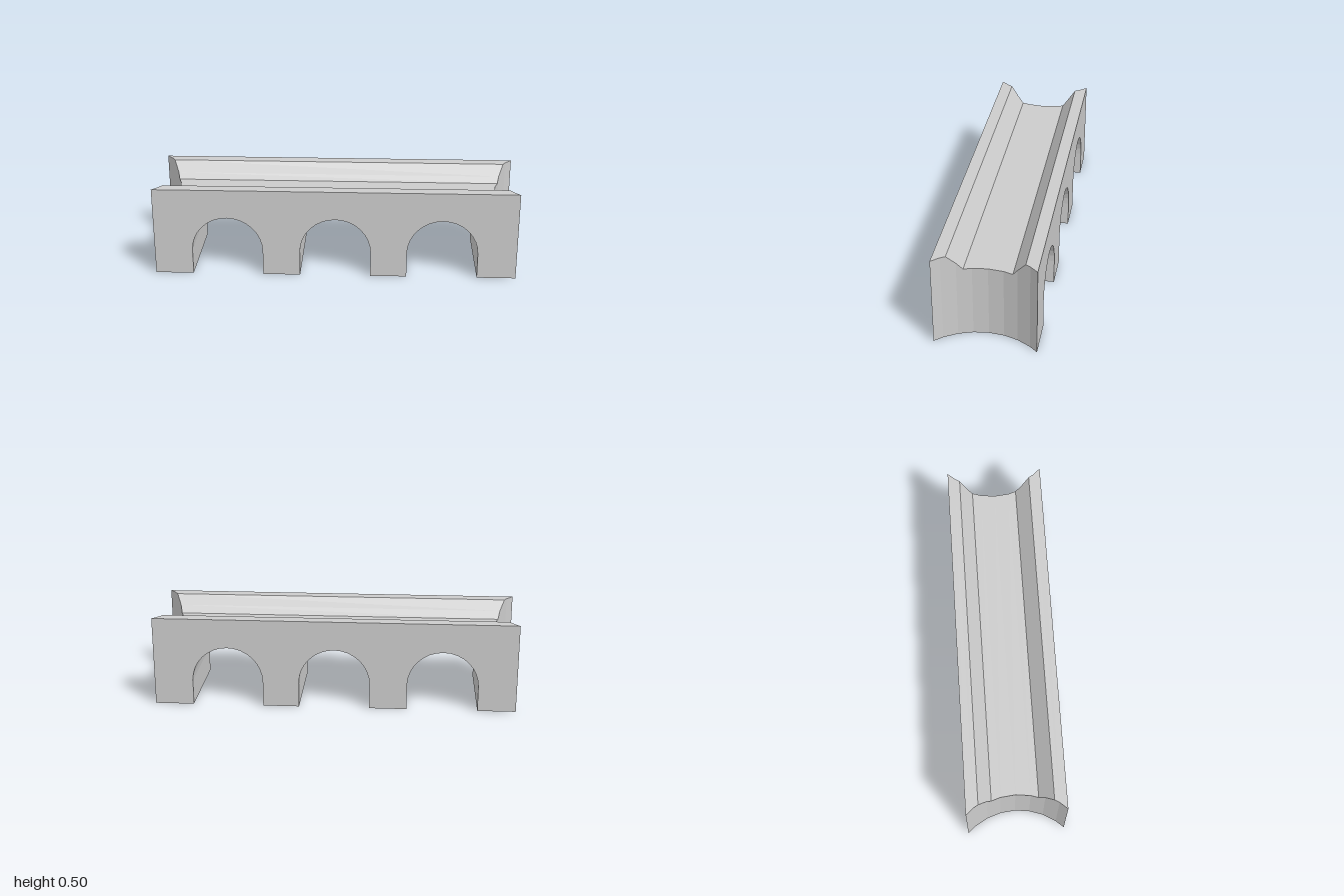
import * as THREE from 'three';

const TOP = 0.497, HALF_DEPTH = 0.267;
const ARCH_R = 0.195, SPRING = 0.14;

// Piecewise linear lookup through [z, value] points in ascending z
function lerpTable(points, z) {
  for (let i = 1; i < points.length; i++) {
    const [z0, a] = points[i - 1], [z1, b] = points[i];
    if (z <= z1) return a + (b - a) * Math.max(0, (z - z0) / (z1 - z0));
  }
  return points[points.length - 1][1];
}

// Trough section across the deck: z, height
const trough = [
  [-HALF_DEPTH, TOP], [-0.2, TOP], [-0.13, 0.405],
  [0.122, 0.405], [0.2, TOP], [HALF_DEPTH, TOP],
];

// Faceted concave end: |z|, half length
const END_R = 0.375;
const endCurve = [0, 0.08, 0.155, 0.2245].map(
  (z) => [z, 0.888 + END_R - Math.sqrt(END_R ** 2 - z ** 2)]);
endCurve.push([HALF_DEPTH, 1]);

export function createModel() {
  // Front elevation with three open arches
  const shape = new THREE.Shape();
  shape.moveTo(-1, 0);
  for (const c of [-0.595, 0.001, 0.591]) {
    shape.lineTo(c - ARCH_R, 0);
    shape.lineTo(c - ARCH_R, SPRING);
    shape.absarc(c, SPRING, ARCH_R, Math.PI, 0, true);
    shape.lineTo(c + ARCH_R, 0);
  }
  shape.lineTo(1, 0);
  shape.lineTo(1, TOP);
  shape.lineTo(-1, TOP);
  shape.closePath();

  // One extrusion layer at every crease of the ends and the trough
  const layers = [...new Set([
    ...trough.map(([z]) => z),
    ...endCurve.flatMap(([z]) => (z ? [z, -z] : [0])),
  ])].sort((a, b) => a - b);
  const steps = layers.length - 1;
  const geometry = new THREE.ExtrudeGeometry(shape, {
    depth: steps, steps, bevelEnabled: false, curveSegments: 8,
  });

  // Shape each layer: hollow the ends and lower the deck
  const pos = geometry.attributes.position;
  for (let i = 0; i < pos.count; i++) {
    const z = layers[Math.round(pos.getZ(i))];
    const x = pos.getX(i);
    if (Math.abs(x) > 0.999) pos.setX(i, Math.sign(x) * lerpTable(endCurve, Math.abs(z)));
    if (pos.getY(i) > TOP - 0.001) pos.setY(i, lerpTable(trough, z));
    pos.setZ(i, z);
  }
  geometry.computeVertexNormals();

  const bridge = new THREE.Mesh(geometry,
    new THREE.MeshStandardMaterial({ color: 0xcccccc, flatShading: true }));
  bridge.name = 'archedBridge';

  const group = new THREE.Group();
  group.name = 'bridgeBlock';
  group.add(bridge);
  return group;
}
